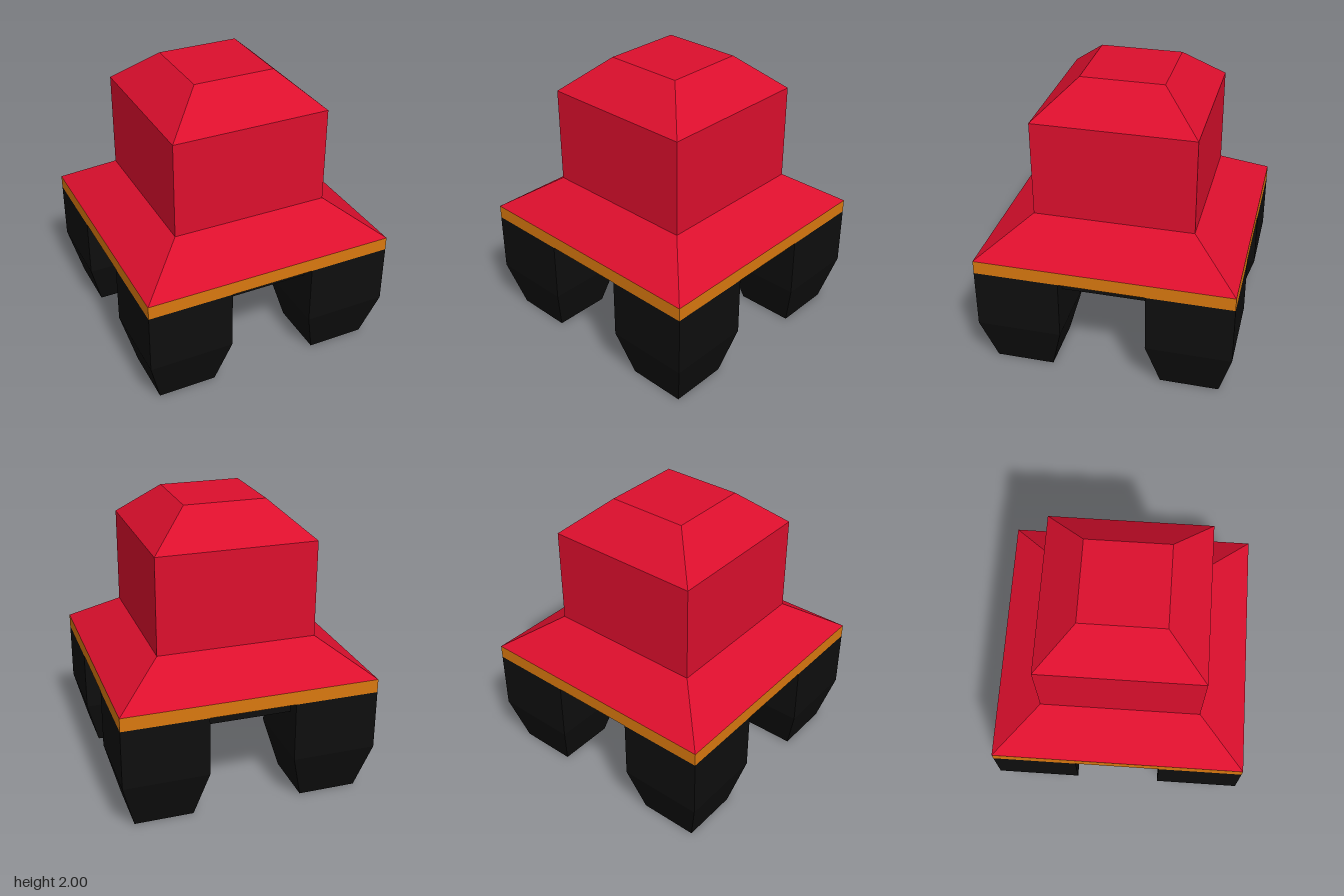
import * as THREE from 'three';

const red = new THREE.MeshStandardMaterial({ color: 0xdc0f2d, flatShading: true });
const orange = new THREE.MeshStandardMaterial({ color: 0xd9780f, flatShading: true });
const black = new THREE.MeshStandardMaterial({ color: 0x0e0e0e, flatShading: true });

// Square frustum given by half widths at the bottom and top heights
function frustum(name, material, y0, half0, y1, half1, open = false) {
  const geometry = new THREE.CylinderGeometry(half1 * Math.SQRT2, half0 * Math.SQRT2, y1 - y0, 4, 1, open);
  geometry.rotateY(Math.PI / 4);
  geometry.translate(0, (y0 + y1) / 2, 0);
  const mesh = new THREE.Mesh(geometry, material);
  mesh.name = name;
  return mesh;
}

// Leg: straight upper block, tapered lower block and a coloured sole
function makeLeg(x, z) {
  const leg = new THREE.Group();
  leg.name = 'leg';
  leg.add(frustum('upperLeg', black, 0.34, 0.295, 0.76, 0.295, true));
  leg.add(frustum('lowerLeg', black, 0, 0.205, 0.34, 0.295, true));
  const sole = new THREE.Mesh(new THREE.PlaneGeometry(0.41, 0.41).rotateX(Math.PI / 2), orange);
  sole.name = 'sole';
  leg.add(sole);
  leg.position.set(x, 0, z);
  return leg;
}

export function createModel() {
  const model = new THREE.Group();
  model.name = 'hatShapedBody';

  // Red body: flared skirt, square trunk and bevelled cap
  model.add(frustum('skirt', red, 0.855, 0.888, 1.085, 0.555, true));
  model.add(frustum('trunk', red, 1.085, 0.555, 1.76, 0.555, true));
  model.add(frustum('cap', red, 1.76, 0.555, 2, 0.285));

  // Trim slab and the recessed plate beneath it
  model.add(frustum('trim', orange, 0.76, 0.888, 0.855, 0.888));
  model.add(frustum('underPlate', black, 0.66, 0.79, 0.76, 0.79));

  // Four legs at the corners
  for (const x of [-0.593, 0.593]) {
    for (const z of [-0.593, 0.593]) model.add(makeLeg(x, z));
  }
  return model;
}
